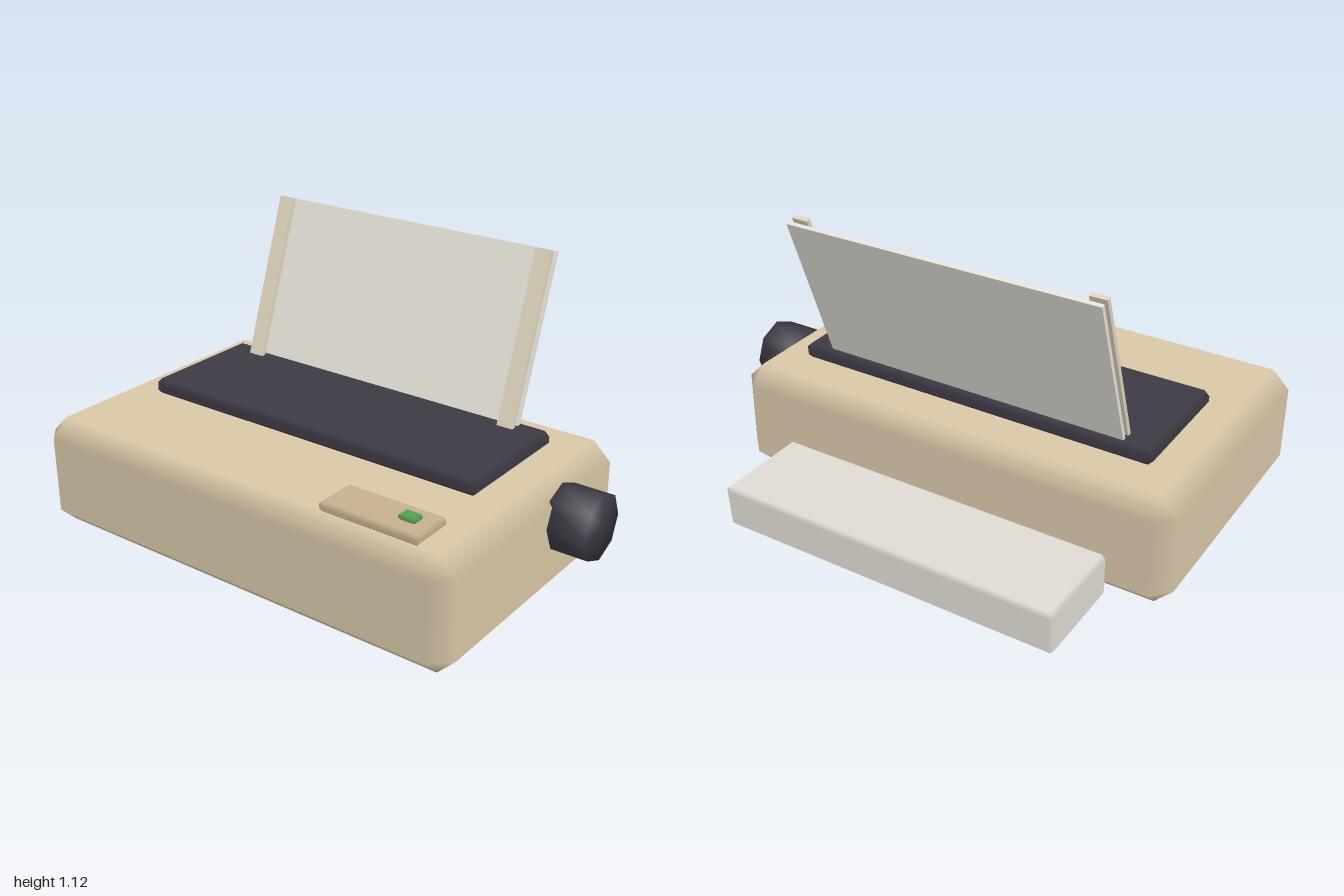
import * as THREE from 'three';
import { ConvexGeometry } from 'three/addons/geometries/ConvexGeometry.js';
import { mergeVertices } from 'three/addons/utils/BufferGeometryUtils.js';

const paint = (color) => new THREE.MeshStandardMaterial({ color });

// Box with chamfered edges; flat faces stay flat, chamfers shade smoothly.
// bottomScale narrows the lower half in depth.
function chamferBox(size, bevel, bottomScale = 1) {
  const points = [];
  const normals = new Map();
  const key = (p) => p.toArray().map((v) => v.toFixed(4)).join();
  for (let axis = 0; axis < 3; axis++) {
    for (const sx of [-1, 1]) for (const sy of [-1, 1]) for (const sz of [-1, 1]) {
      const signs = [sx, sy, sz];
      const c = signs.map((s, i) => s * (size[i] / 2 - (i === axis ? 0 : bevel)));
      if (sy < 0) c[2] *= bottomScale;
      const p = new THREE.Vector3(...c);
      points.push(p);
      normals.set(key(p), new THREE.Vector3().setComponent(axis, signs[axis]));
    }
  }
  const geometry = new ConvexGeometry(points);
  const { position, normal } = geometry.attributes;
  const p = new THREE.Vector3();
  for (let i = 0; i < position.count; i++) {
    const n = normals.get(key(p.fromBufferAttribute(position, i)));
    if (n) normal.setXYZ(i, n.x, n.y, n.z);
  }
  return geometry;
}

export function createModel() {
  const group = new THREE.Group();
  const casing = paint(0xd9c7a8);
  const dark = paint(0x3d3a45);
  const railPaint = paint(0xdfd4bf);

  function add(name, geometry, material) {
    const mesh = new THREE.Mesh(geometry, material);
    mesh.name = name;
    group.add(mesh);
    return mesh;
  }

  // Chamfered box given by its lower and upper corners
  function block(name, min, max, bevel, material, bottomScale) {
    const size = max.map((v, i) => v - min[i]);
    const mesh = add(name, chamferBox(size, bevel, bottomScale), material);
    mesh.position.set(...max.map((v, i) => (v + min[i]) / 2));
    return mesh;
  }

  // Casing, cover, control panel and rear tray
  block('body', [-1, 0, -0.39], [0.856, 0.44, 0.77], 0.07, casing);
  block('topCover', [-0.825, 0.438, -0.19], [0.68, 0.5, 0.33], 0.02, dark);
  block('controlPanel', [0.305, 0.438, 0.535], [0.71, 0.476, 0.71], 0.014, paint(0xc6b090));
  block('powerButton', [0.585, 0.472, 0.595], [0.657, 0.496, 0.65], 0.01, paint(0x56a050));
  block('rearTray', [-0.77, 0, -0.77], [0.62, 0.175, -0.365], 0.015, paint(0xe0dcd4), 0.95);

  // Leaning panel whose centre line runs between two [y, z] points
  function leaning(name, x0, x1, low, high, thickness, material) {
    const dy = high[0] - low[0];
    const dz = high[1] - low[1];
    const geometry = new THREE.BoxGeometry(x1 - x0, Math.hypot(dy, dz), thickness);
    const mesh = add(name, geometry, material);
    mesh.position.set((x0 + x1) / 2, (low[0] + high[0]) / 2, (low[1] + high[1]) / 2);
    mesh.rotation.x = Math.atan2(dz, dy);
  }

  // Paper support and its two guide rails
  leaning('paperSheet', -0.705, 0.56, [0.46, -0.14], [1.108, -0.375], 0.016, paint(0xe6e3da));
  leaning('rightGuideRail', -0.707, -0.64, [0.46, -0.103], [1.12, -0.341], 0.018, railPaint);
  leaning('leftGuideRail', 0.493, 0.56, [0.46, -0.103], [1.12, -0.341], 0.018, railPaint);

  // Eight-sided paper feed knob with shared, smooth normals
  let knobShape = new THREE.CylinderGeometry(0.127, 0.127, 0.16, 8);
  knobShape.deleteAttribute('normal');
  knobShape.deleteAttribute('uv');
  knobShape = mergeVertices(knobShape);
  knobShape.computeVertexNormals();
  const knob = add('feedKnob', knobShape, dark);
  knob.rotation.z = -Math.PI / 2;
  knob.position.set(0.92, 0.295, 0.015);

  return group;
}
